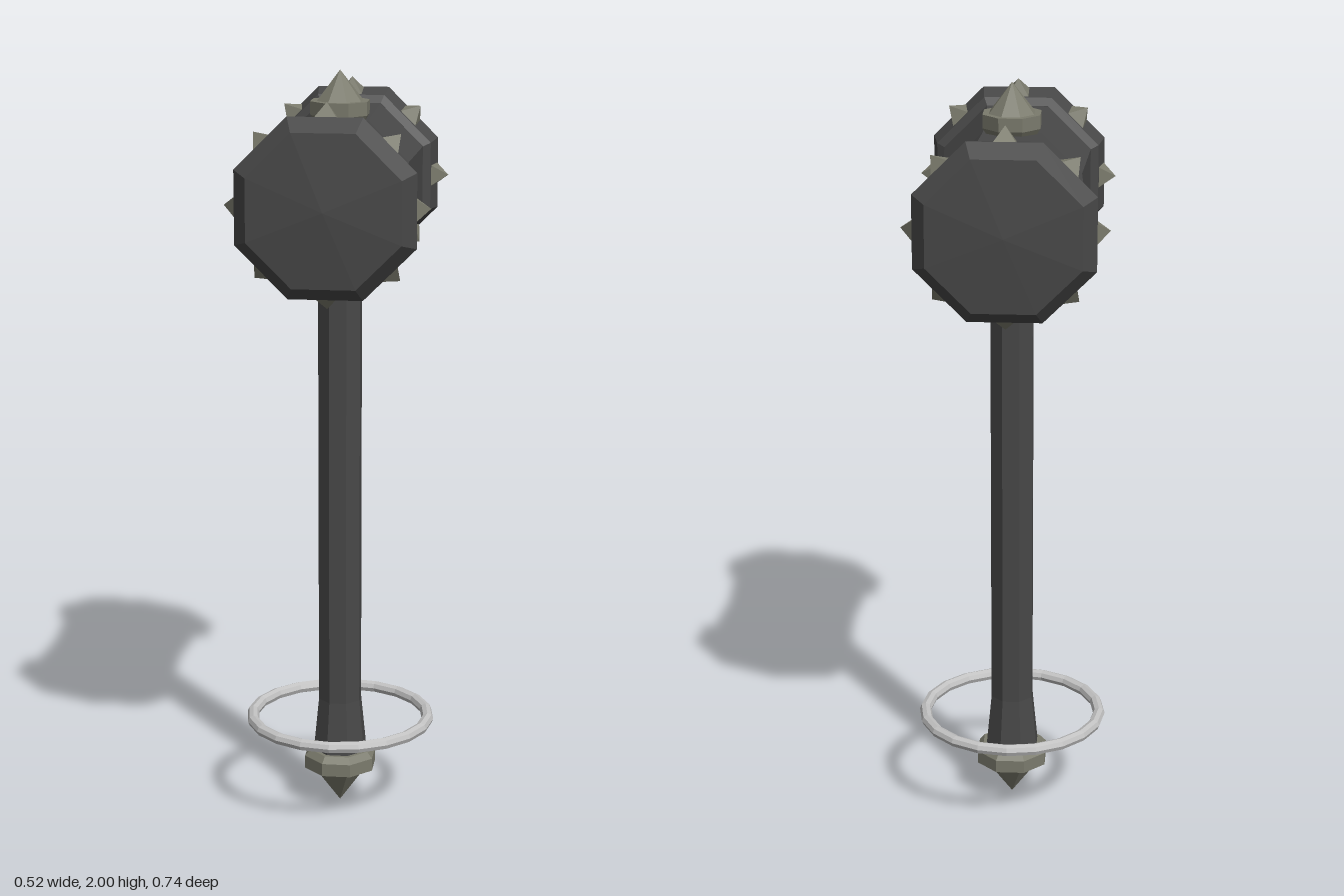
import * as THREE from 'three';

const SIDES = 8;
const HEAD_Y = 1.693;

const head = new THREE.MeshStandardMaterial({ color: 0x484848 });
head.name = 'dark iron';
const trim = new THREE.MeshStandardMaterial({ color: 0x7b7b6d });
trim.name = 'tarnished bronze';
const steel = new THREE.MeshStandardMaterial({ color: 0xc2c2c2 });
steel.name = 'pale steel';

// Faceted normals
function facet(geometry) {
  const g = geometry.toNonIndexed();
  g.computeVertexNormals();
  return g;
}

function part(name, geometry, material) {
  const mesh = new THREE.Mesh(facet(geometry), material);
  mesh.name = name;
  return mesh;
}

// Octagonal lathe with flats facing the axes; profile is [half width, height]
function octagon(profile) {
  const k = 1 / Math.cos(Math.PI / SIDES);
  const points = profile.map(([r, y]) => new THREE.Vector2(r * k, y));
  return new THREE.LatheGeometry(points, SIDES, Math.PI / SIDES);
}

// Striking end of the head, facing +z, with a ring of studs
function createCap(name) {
  const cap = new THREE.Group();
  cap.name = name;
  const face = part('strikingFace', octagon([
    [0, 0.237], [0.193, 0.237], [0.213, 0.248], [0.227, 0.314], [0.193, 0.356], [0, 0.372],
  ]), head);
  face.rotation.x = Math.PI / 2;
  cap.add(face);

  // Four-sided studs standing square to the sloping rim
  const stud = new THREE.ConeGeometry(0.041, 0.042, 4, 1);
  stud.rotateY(Math.PI / 4);
  stud.translate(0, 0.019, 0);
  for (let i = 0; i < SIDES; i++) {
    const pivot = new THREE.Group();
    pivot.name = 'studPivot';
    pivot.rotation.z = (i * Math.PI * 2) / SIDES;
    const spike = part('stud', stud, trim);
    spike.position.set(0, 0.2195, 0.281);
    spike.rotation.x = -0.21;
    pivot.add(spike);
    cap.add(pivot);
  }
  return cap;
}

export function createModel() {
  const model = new THREE.Group();
  model.name = 'warHammer';

  // Handle, flaring at the grip end
  model.add(part('handle', octagon([
    [0, 0.14], [0.07, 0.14], [0.055, 0.3], [0.055, 1.6], [0, 1.6],
  ]), head));

  // Pommel with pointed tip
  model.add(part('pommel', octagon([
    [0, 0], [0.069, 0.103], [0.092, 0.103], [0.092, 0.138], [0.078, 0.155], [0, 0.155],
  ]), trim));

  // Hammer head: waisted barrel and two studded caps
  const hammerHead = new THREE.Group();
  hammerHead.name = 'hammerHead';
  hammerHead.position.y = HEAD_Y;
  const barrel = part('barrel', octagon([[0.193, -0.24], [0.178, 0], [0.193, 0.24]]), head);
  barrel.rotation.x = Math.PI / 2;
  const backCap = createCap('backCap');
  backCap.rotation.y = Math.PI;
  hammerHead.add(barrel, createCap('frontCap'), backCap);
  model.add(hammerHead);

  // Finial on top of the head
  model.add(part('finial', octagon([
    [0.06, 1.865], [0.073, 1.887], [0.073, 1.922], [0.057, 1.922], [0, 2],
  ]), trim));

  // Loose ring around the grip
  const ring = part('gripRing', new THREE.TorusGeometry(0.239, 0.016, 8, 20), steel);
  ring.rotation.x = Math.PI / 2;
  ring.position.y = 0.247;
  model.add(ring);

  return model;
}
